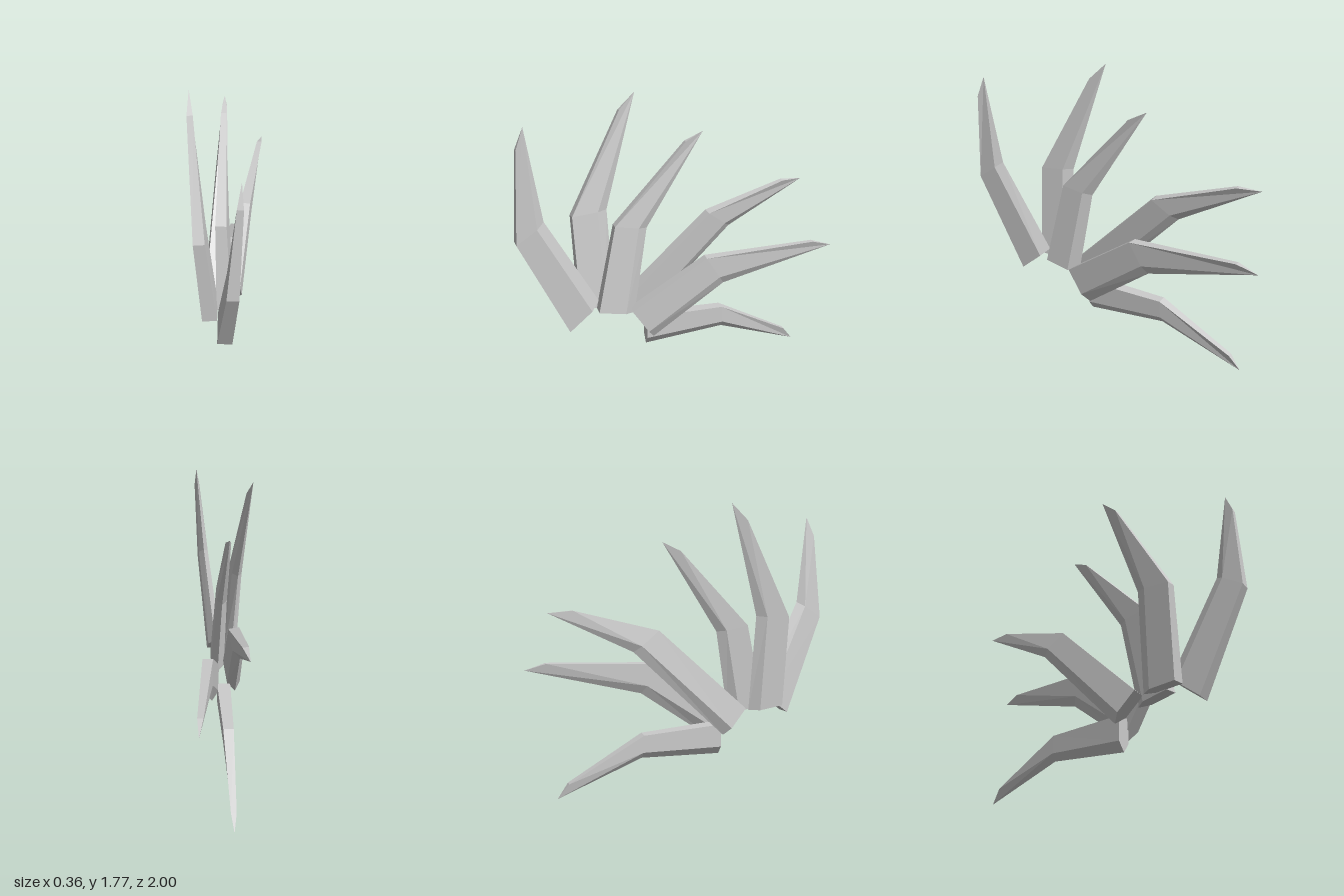
import * as THREE from 'three';

// Each claw: outer and keel profiles as [z, y] from root to tip, and its
// centre plane x = x0 + leanY * (y - rootY) + leanZ * (z - rootZ).
const CLAWS = [
  { name: 'frontClaw', outer: [[0.72, 0.37], [1.0, 1.0], [0.96, 1.55]], keel: [[0.52, 0.53], [0.83, 1.11], [0.91, 1.675]], x0: 0.065, leanY: 0.06, leanZ: 0.12 },
  { name: 'tallClaw', outer: [[0.63, 0.46], [0.645, 1.055], [0.315, 1.67]], keel: [[0.4, 0.44], [0.42, 1.07], [0.21, 1.77]], x0: -0.035, leanY: -0.085, leanZ: 0.08 },
  { name: 'middleClaw', outer: [[0.525, 0.455], [0.4, 1.0], [-0.06, 1.485]], keel: [[0.29, 0.41], [0.195, 0.965], [-0.175, 1.54]], x0: 0.04, leanY: -0.052, leanZ: 0.011 },
  { name: 'upperRearClaw', outer: [[0.36, 0.46], [-0.22, 1.008], [-0.745, 1.163]], keel: [[0.21, 0.3], [-0.38, 0.89], [-0.89, 1.158]], x0: -0.045, leanY: 0.11, leanZ: 0.107 },
  { name: 'lowerRearClaw', outer: [[0.316, 0.45], [-0.16, 0.765], [-0.87, 0.81]], keel: [[0.177, 0.24], [-0.28, 0.575], [-1.0, 0.773]], x0: 0.075, leanY: 0.01, leanZ: -0.065 },
  { name: 'bottomClaw', outer: [[0.21, 0.36], [-0.31, 0.345], [-0.79, 0.09]], keel: [[0.21, 0.15], [-0.32, 0.19], [-0.86, 0.0]], x0: 0, leanY: 0, leanZ: 0.028 },
];
const HALF_WIDTHS = [0.045, 0.033, 0.017];
const CREASE = 0.28; // how far up from the keel the flat sides begin

function clawGeometry({ outer, keel, x0, leanY, leanZ }) {
  const [rootZ, rootY] = outer[0];
  const across = new THREE.Vector3(1, -leanY, -leanZ).normalize();
  const place = ([z, y], w = 0) =>
    new THREE.Vector3(x0 + leanY * (y - rootY) + leanZ * (z - rootZ), y, z).addScaledVector(across, w);

  // Five-sided sections: flat back, two sides, keel; the last closes to a point
  const rings = outer.map((o, i) => {
    const k = keel[i], w = HALF_WIDTHS[i];
    const c = k.map((v, a) => v + (o[a] - v) * CREASE);
    const tip = i === 2;
    return [place(o, w), tip ? place(k) : place(c, w), place(k), tip ? place(k) : place(c, -w), place(o, -w)];
  });

  const positions = [];
  const tri = (a, b, c) => {
    if (a.equals(b) || b.equals(c) || a.equals(c)) return;
    for (const p of [a, b, c]) positions.push(p.x, p.y, p.z);
  };
  for (let r = 0; r < 2; r++) {
    for (let i = 0; i < 5; i++) {
      const j = (i + 1) % 5;
      tri(rings[r][i], rings[r][j], rings[r + 1][j]);
      tri(rings[r][i], rings[r + 1][j], rings[r + 1][i]);
    }
  }
  // Root cap and bevelled tip
  for (let i = 1; i < 4; i++) tri(rings[0][0], rings[0][i + 1], rings[0][i]);
  tri(rings[2][0], rings[2][1], rings[2][4]);

  const geometry = new THREE.BufferGeometry();
  geometry.setAttribute('position', new THREE.Float32BufferAttribute(positions, 3));
  geometry.computeVertexNormals();
  return geometry;
}

export function createModel() {
  const group = new THREE.Group();
  group.name = 'clawFan';
  const material = new THREE.MeshStandardMaterial({ color: 0xcccccc, flatShading: true });
  for (const claw of CLAWS) {
    const mesh = new THREE.Mesh(clawGeometry(claw), material);
    mesh.name = claw.name;
    group.add(mesh);
  }
  return group;
}
